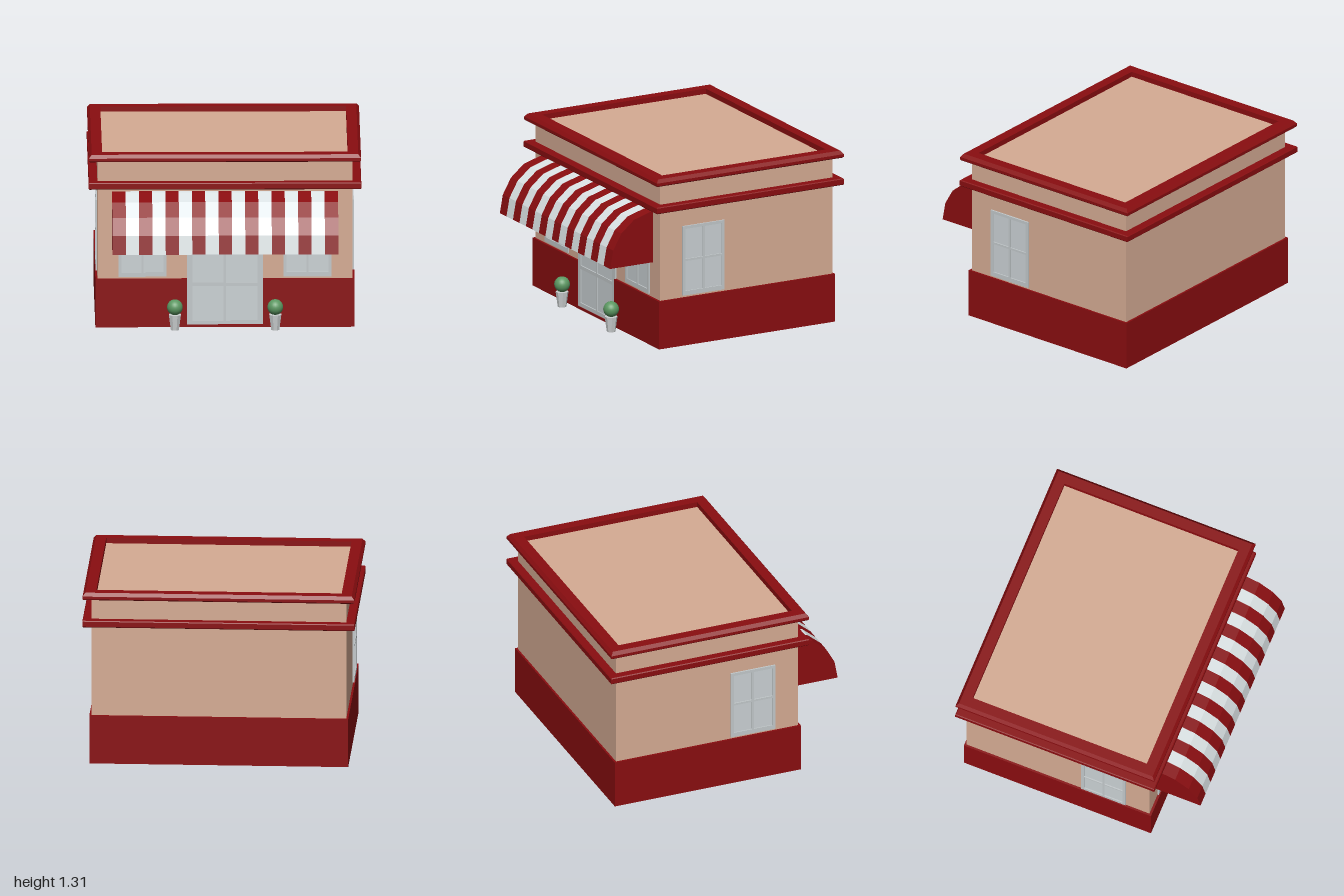
import * as THREE from 'three';

const mat = (name, color, side = THREE.FrontSide, flatShading = false) => {
  const m = new THREE.MeshStandardMaterial({ color, side, flatShading });
  m.name = name;
  return m;
};

// Wall footprint
const HX = 0.935, FRONT = 0.565, BACK = -0.88;
const MZ = (FRONT + BACK) / 2, HZ = (FRONT - BACK) / 2;

// Sweep a closed profile of [outward offset, y] round the footprint with mitred corners
function sweepRing(profile) {
  const corners = [[1, 1], [1, -1], [-1, -1], [-1, 1]];
  const at = (c, p) => [c[0] * (HX + p[0]), p[1], MZ + c[1] * (HZ + p[0])];
  const pos = [];
  corners.forEach((c, i) => {
    const d = corners[(i + 1) % 4];
    profile.forEach((p, j) => {
      const q = profile[(j + 1) % profile.length];
      const A = at(c, p), B = at(d, p), C = at(d, q), D = at(c, q);
      pos.push(...A, ...B, ...C, ...A, ...C, ...D);
    });
  });
  const g = new THREE.BufferGeometry();
  g.setAttribute('position', new THREE.Float32BufferAttribute(pos, 3));
  g.computeVertexNormals();
  return g;
}

const rectPath = (Type, x0, y0, x1, y1) => new Type([
  new THREE.Vector2(x0, y0), new THREE.Vector2(x1, y0),
  new THREE.Vector2(x1, y1), new THREE.Vector2(x0, y1),
]);

// Frame with rectangular openings, extruded along z from 0 to depth
function frameGeometry(w, h, holes, depth) {
  const s = rectPath(THREE.Shape, -w / 2, 0, w / 2, h);
  holes.forEach(r => s.holes.push(rectPath(THREE.Path, ...r)));
  return new THREE.ExtrudeGeometry(s, { depth, bevelEnabled: false });
}

export function createModel() {
  const red = mat('darkRed', 0x8a0d10);
  const wallMat = mat('peachWall', 0xd6ac94, THREE.DoubleSide);
  const white = mat('awningWhite', 0xdde4e6);
  const frameMat = mat('frameGrey', 0xc3c9cb);
  const glass = mat('paleGlass', 0xcbd2d5, THREE.DoubleSide);
  const potMat = mat('potGrey', 0xcdd1d2, THREE.FrontSide, true);
  const green = mat('leafGreen', 0x5c9862);

  const model = new THREE.Group();
  model.name = 'shop';
  const add = (name, geo, material, x = 0, y = 0, z = 0, parent = model) => {
    const m = new THREE.Mesh(geo, material);
    m.name = name;
    m.position.set(x, y, z);
    parent.add(m);
    return m;
  };
  const box = (name, material, x0, x1, y0, y1, z0, z1, parent) =>
    add(name, new THREE.BoxGeometry(x1 - x0, y1 - y0, z1 - z0), material,
      (x0 + x1) / 2, (y0 + y1) / 2, (z0 + z1) / 2, parent);

  // Hollow walls and the flat roof, open underneath
  const WALL_Y = 0.355, ROOF_Y = 1.27, wallH = ROOF_Y - WALL_Y, wy = (WALL_Y + ROOF_Y) / 2;
  for (const s of [1, -1]) {
    const end = add(s > 0 ? 'frontWall' : 'backWall',
      new THREE.PlaneGeometry(2 * HX, wallH), wallMat, 0, wy, MZ + s * HZ);
    end.rotation.y = s > 0 ? 0 : Math.PI;
    const side = add(s > 0 ? 'leftWall' : 'rightWall',
      new THREE.PlaneGeometry(2 * HZ, wallH), wallMat, s * HX, wy, MZ);
    side.rotation.y = s * Math.PI / 2;
  }
  const roof = add('roof', new THREE.PlaneGeometry(2 * HX, 2 * HZ), wallMat, 0, ROOF_Y, MZ);
  roof.rotation.x = -Math.PI / 2;

  // Base wall with an opening for the door
  const BX = 0.95, BF = 0.583, BB = -0.895, T = 0.022, BH = 0.365, DOOR = 0.277;
  const base = new THREE.Group();
  base.name = 'base';
  model.add(base);
  box('baseBack', red, -BX, BX, 0, BH, BB, BB + T, base);
  for (const s of [1, -1]) {
    const xs = [s * BX, s * (BX - T)].sort((a, b) => a - b);
    box('baseSide', red, xs[0], xs[1], 0, BH, BB + T, BF - T, base);
    const xf = [s * DOOR, s * BX].sort((a, b) => a - b);
    box('baseFront', red, xf[0], xf[1], 0, BH, BF - T, BF, base);
  }
  box('doorSill', red, -DOOR, DOOR, 0, 0.02, BF - T, BF, base);

  // Cornice bands
  add('lowerCornice', sweepRing([
    [-0.01, 1.05], [0.058, 1.05], [0.064, 1.056], [0.064, 1.094], [0.058, 1.1], [-0.01, 1.1],
  ]), red);
  add('upperCornice', sweepRing([
    [-0.035, 1.257], [0.055, 1.257], [0.062, 1.264], [0.062, 1.285], [0.042, 1.31], [-0.035, 1.31],
  ]), red);

  // Four-pane windows on the front and both sides
  const W = 0.35, H = 0.53, b = 0.022, m = 0.008, mid = 0.27;
  const panes = [];
  for (const [x0, x1] of [[-W / 2 + b, -m], [m, W / 2 - b]])
    for (const [y0, y1] of [[b + 0.012, mid - m], [mid + m, H - b]]) panes.push([x0, y0, x1, y1]);
  const windowFrame = frameGeometry(W, H, panes, 0.024);
  const windowGlass = new THREE.PlaneGeometry(W - 0.02, H - 0.02);
  const addWindow = (name, x, z, turn) => {
    const g = new THREE.Group();
    g.name = name;
    g.position.set(x, 0.38, z);
    g.rotation.y = turn;
    add('windowFrame', windowFrame, frameMat, 0, 0, -0.012, g);
    add('windowGlass', windowGlass, glass, 0, H / 2, 0.003, g);
    model.add(g);
  };
  for (const s of [1, -1]) {
    addWindow('frontWindow', s * 0.605, FRONT, 0);
    addWindow('sideWindow', s * HX, 0.205, s * Math.PI / 2);
  }

  // Double door: backing slab, panelled frame, meeting line and glass
  const door = new THREE.Group();
  door.name = 'door';
  model.add(door);
  const DH = 0.89, doorPanes = [];
  for (const s of [1, -1]) {
    const [x0, x1] = [s * 0.009, s * 0.238].sort((a, c) => a - c);
    doorPanes.push([x0, 0.03, x1, 0.288], [x0, 0.315, x1, DH - 0.035]);
    box('doorLeaf', frameMat, s > 0 ? 0.002 : -DOOR, s > 0 ? DOOR : -0.002,
      0.02, 0.02 + DH, 0.535, 0.566, door);
  }
  add('doorFrame', frameGeometry(2 * DOOR, DH, doorPanes, 0.012), frameMat, 0, 0.02, 0.566, door);
  for (const [x0, y0, x1, y1] of doorPanes)
    box('doorGlass', glass, x0, x1, 0.02 + y0, 0.02 + y1, 0.565, 0.569, door);

  // Curved awning: striped sheet with a solid cheek at each end
  const awning = new THREE.Group();
  awning.name = 'awning';
  model.add(awning);
  const arc = [[0.553, 1.025], [0.59, 1.02], [0.725, 0.98], [0.832, 0.89], [0.9, 0.77], [0.925, 0.633]];
  const inner = [[0.905, 0.633], [0.882, 0.765], [0.819, 0.875], [0.717, 0.961], [0.588, 1.0], [0.553, 1.005]];
  const alongX = (pts, width) => {
    // Outline is drawn in (z, y); turning it makes the extrusion run along x
    const shape = new THREE.Shape(pts.map(([z, y]) => new THREE.Vector2(-z, y)));
    const g = new THREE.ExtrudeGeometry(shape, { depth: width, bevelEnabled: false });
    return g.rotateY(Math.PI / 2);
  };
  const N = 17, AX = 0.826, sw = 2 * AX / N;
  const stripe = alongX([...arc, ...inner], sw);
  for (let i = 0; i < N; i++)
    add('awningStripe', stripe, i % 2 ? white : red, -AX + i * sw, 0, 0, awning);
  const cheek = alongX([...arc, [0.553, 0.633]], 0.014);
  for (const x of [-AX - 0.002, AX - 0.012]) add('awningCheek', cheek, red, x, 0, 0, awning);

  // Potted round shrubs beside the door
  const pot = new THREE.CylinderGeometry(0.048, 0.032, 0.115, 8).rotateY(Math.PI / 8);
  const ball = new THREE.SphereGeometry(0.058, 24, 16);
  for (const s of [1, -1]) {
    const plant = new THREE.Group();
    plant.name = 'pottedShrub';
    plant.position.set(s * 0.368, 0, 0.66);
    add('pot', pot, potMat, 0, 0.0575, 0, plant);
    add('shrub', ball, green, 0, 0.17, 0, plant);
    model.add(plant);
  }
  return model;
}
